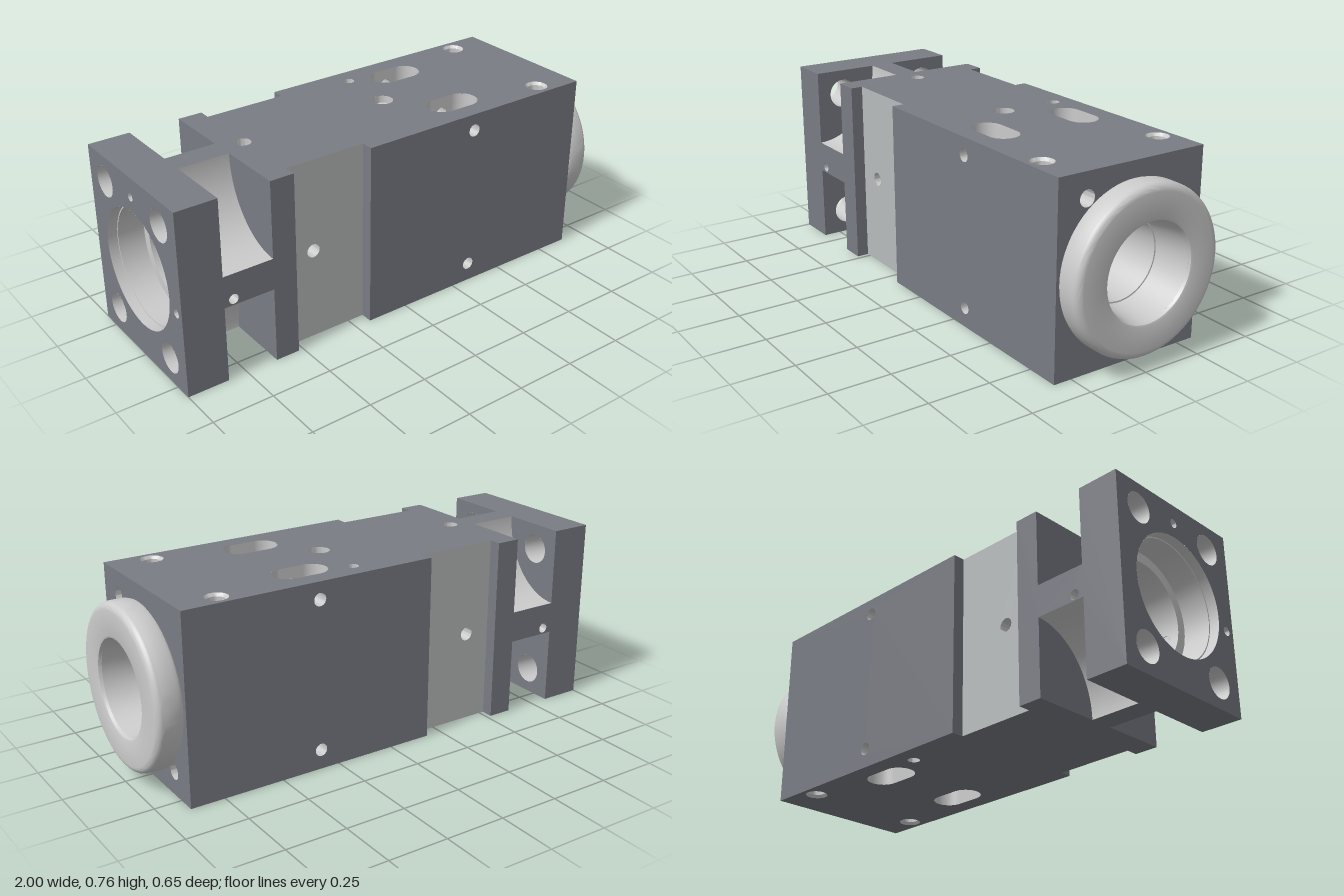
import * as THREE from 'three';
import { toCreasedNormals } from 'three/addons/utils/BufferGeometryUtils.js';

const H = 0.76, CY = 0.38, W = 0.325, GROOVE = 0.275;
const paint = (color) => new THREE.MeshStandardMaterial({ color, side: THREE.DoubleSide });

// Flat panel orientations: signs of the two in-plane coordinates, rotation, normal axis
const SIDES = {
  front: [1, 1, 0, 0, 'z'], back: [-1, 1, 0, Math.PI, 'z'],
  top: [1, -1, -Math.PI / 2, 0, 'y'], bottom: [1, 1, Math.PI / 2, 0, 'y'],
  left: [-1, 1, 0, Math.PI / 2, 'x'], right: [1, 1, 0, -Math.PI / 2, 'x'],
};
const rect = (a, b, c, d) => [[a, b], [c, b], [c, d], [a, d]];

// Axis-aligned rotation of something built along y
function alongAxis(geo, axis) {
  if (axis === 'x') geo.rotateZ(-Math.PI / 2);
  if (axis === 'z') geo.rotateX(Math.PI / 2);
  return geo;
}

export function createModel() {
  const model = new THREE.Group();
  model.name = 'machinedHousing';
  const dark = paint(0x7a7c84), mid = paint(0xb8bcbc), light = paint(0xcccccc);

  const add = (name, geo, mat, x = 0, y = 0, z = 0) => {
    const mesh = new THREE.Mesh(geo, mat);
    mesh.name = name;
    mesh.position.set(x, y, z);
    model.add(mesh);
    return mesh;
  };

  // Panel in world coordinates; holes are [a, b, radius, halfStraight] or corner lists
  const panel = (name, side, at, pts, holes = [], mat = dark) => {
    const [su, sv, rx, ry, axis] = SIDES[side];
    const flip = (list) => list.map(([a, b]) => new THREE.Vector2(a * su, b * sv));
    const shape = new THREE.Shape(flip(pts));
    for (const h of holes) {
      const path = new THREE.Path();
      if (Array.isArray(h[0])) path.setFromPoints(flip(h));
      else {
        const [a, b, r, half = 0] = h;
        path.absarc(a * su + half, b * sv, r, -Math.PI / 2, Math.PI / 2);
        path.absarc(a * su - half, b * sv, r, Math.PI / 2, Math.PI * 1.5);
      }
      shape.holes.push(path);
    }
    const geo = new THREE.ShapeGeometry(shape, 24).rotateX(rx).rotateY(ry);
    const mesh = add(name, geo, mat);
    mesh.position[axis] = at;
  };

  // Turned surface: profile of [radius, position along axis]
  const turned = (name, axis, profile, x, y, z, mat = light, seg = 32, start = 0, sweep = Math.PI * 2) => {
    const pts = profile.map(([r, t]) => new THREE.Vector2(r, t));
    const geo = toCreasedNormals(new THREE.LatheGeometry(pts, seg, start, sweep), 0.5);
    add(name, alongAxis(geo, axis), mat, x, y, z);
  };

  // Top and bottom, with the side grooves and corner pockets in the outline
  const half = [[-1, W], [-0.83, W], [-0.83, 0.05], [-0.62, 0.05], [-0.62, W], [-0.52, W],
    [-0.52, GROOVE], [-0.18, GROOVE], [-0.18, W], [0.89, W]];
  const outline = [...half, ...half.map(([x, z]) => [x, -z]).reverse()];
  const slots = [-1, 1].map((s) => [0.33, s * 0.185, 0.0625, 0.0525]);
  const corners = [-1, 1].map((s) => [0.72, s * 0.262, 0.045]);
  const pin = [0.13, -0.24, 0.024];
  panel('topFace', 'top', H, outline, [...slots, ...corners, pin, [-0.53, 0, 0.032], [0.125, 0, 0.042]]);
  panel('bottomFace', 'bottom', 0, outline, [...slots, ...corners, pin]);
  turned('pinHole', 'y', [[0.024, 0], [0.024, H]], 0.13, 0, -0.24);
  turned('topRearHole', 'y', [[0.032, H], [0.032, 0.66], [0, 0.65]], -0.53, 0, 0);
  turned('topCentreHole', 'y', [[0.042, H], [0.042, 0.73], [0.022, 0.73], [0.022, 0.66], [0, 0.66]], 0.125, 0, 0);
  for (const [x, z, r] of corners) {
    turned('topCornerHole', 'y', [[r, H], [0.036, H - 0.012], [0.036, H - 0.1], [0, H - 0.1]], x, 0, z);
    turned('bottomCornerHole', 'y', [[r, 0], [0.036, 0.012], [0.036, 0.1], [0, 0.1]], x, 0, z);
  }

  // Front and back sides
  const crossHoles = [0.08, 0.69].map((y) => [0.33, y, 0.026]);
  const rear = [[-1, 0], [-0.83, 0], [-0.83, 0.315], [-0.62, 0.315], [-0.62, 0], [-0.52, 0]];
  const rearOutline = [...rear, ...rear.map(([x, y]) => [x, H - y]).reverse()];
  for (const [side, s] of [['front', 1], ['back', -1]]) {
    panel(side + 'Face', side, s * W, rect(-0.18, 0, 0.89, H), crossHoles);
    panel(side + 'Groove', side, s * GROOVE, rect(-0.52, 0, -0.18, H), [[-0.41, CY, 0.028]], mid);
    panel(side + 'RearFace', side, s * W, rearOutline, [[-0.79, 0.34, 0.02]]);
    const lip = rect(s * GROOVE, 0, s * W, H);
    panel('grooveStep', 'left', -0.52, lip);
    panel('grooveStep', 'right', -0.18, lip);
    turned('grooveHole', 'z', [[0.028, s * GROOVE], [0.028, s * 0.2], [0, s * 0.2]], -0.41, CY, 0);
    turned('webHole', 'z', [[0.02, s * W], [0.02, s * 0.19]], -0.79, 0.34, 0);

    // Slot walls
    for (const dir of [0, 1]) {
      const end = new THREE.CylinderGeometry(0.0625, 0.0625, H, 16, 1, true, dir * Math.PI, Math.PI);
      add('slotEnd', end, light, 0.33 + (dir ? -0.0525 : 0.0525), CY, s * 0.185);
    }
    const wall = rect(0.2775, 0, 0.3825, H);
    panel('slotOuterWall', s > 0 ? 'back' : 'front', s * 0.2475, wall, crossHoles, light);
    panel('slotInnerWall', side, s * 0.1225, wall, [...crossHoles, rect(0.28, CY - 0.081, 0.38, CY + 0.081)], light);
    for (const [x, y, r] of crossHoles) turned('crossHole', 'z', [[r, s * W], [r, s * 0.2475]], x, y, 0);
  }
  for (const [x, y, r] of crossHoles) turned('crossHole', 'z', [[r, -0.1225], [r, 0.1225]], x, y, 0);

  // Curved corner pockets behind the end flange
  const pocket = alongAxis(new THREE.CylinderGeometry(1, 1, 0.21, 24, 1, true, Math.PI / 2, Math.PI / 2), 'x')
    .scale(1, 0.315, 0.275);
  const square = rect(-W, 0, W, H);
  const bolts = [];
  for (const sy of [-1, 1]) for (const sz of [-1, 1]) {
    add('cornerPocket', pocket, light, -0.725, CY + sy * CY, sz * W).scale.set(1, sy, sz);
    bolts.push([sz * 0.205, CY + sy * 0.275, 0.062]);
    turned('boltHole', 'x', [[0.062, -1], [0.062, -0.83]], 0, CY + sy * 0.275, sz * 0.205);
  }
  panel('flangeInnerFace', 'left', -0.83, square, [...bolts, [0, CY, 0.195]]);
  panel('pocketFace', 'right', -0.62, square, [[0, CY, 0.195]]);

  // Flange end with bolt holes and two small pin holes
  const pins = [[0, 0.68, 0.018], [0.285, 0.34, 0.018]];
  panel('flangeEndFace', 'right', -1, square, [...bolts, ...pins, [0, CY, 0.24]]);
  for (const [z, y, r] of pins) turned('flangePinHole', 'x', [[r, -1], [r, -0.93], [0, -0.93]], 0, y, z);

  // Collar end
  const endHoles = [[0.2, 0.663, 0.032], [-0.2, 0.097, 0.032]];
  panel('collarEndFace', 'left', 0.89, square, [...endHoles, [0, CY, 0.2]]);
  for (const [z, y, r] of endHoles) turned('endHole', 'x', [[r, 0.89], [r, 0.82], [0, 0.82]], 0, y, z);
  const collar = [[0.2, 0.89], [0.305, 0.89], [0.32, 0.9], [W, 0.915]];
  for (let i = 0; i <= 6; i++) {
    const a = i / 6 * Math.PI / 2;
    collar.push([0.295 + 0.03 * Math.cos(a), 0.97 + 0.03 * Math.sin(a)]);
  }
  collar.push([0.2, 1], [0.192, 0.997], [0.187, 0.985]);
  turned('collar', 'x', collar, 0, CY, 0, light, 72);

  // Stepped through bore, opened where the slots cut into it
  turned('frontBore', 'x', [[0.187, 0.985], [0.168, 0.84], [0.162, 0.84], [0.147, 0.7], [0.147, 0.41]],
    0, CY, 0, light, 64);
  turned('rearBore', 'x', [[0.147, 0.25], [0.147, -0.5], [0.195, -0.5], [0.195, -0.85], [0.235, -0.85],
    [0.235, -0.96], [0.24, -0.96], [0.24, -1]], 0, CY, 0, light, 64);
  for (const start of [0.585, Math.PI + 0.585]) {
    turned('slottedBore', 'x', [[0.147, 0.25], [0.147, 0.41]], 0, CY, 0, light, 24, start, Math.PI - 1.17);
  }
  return model;
}
